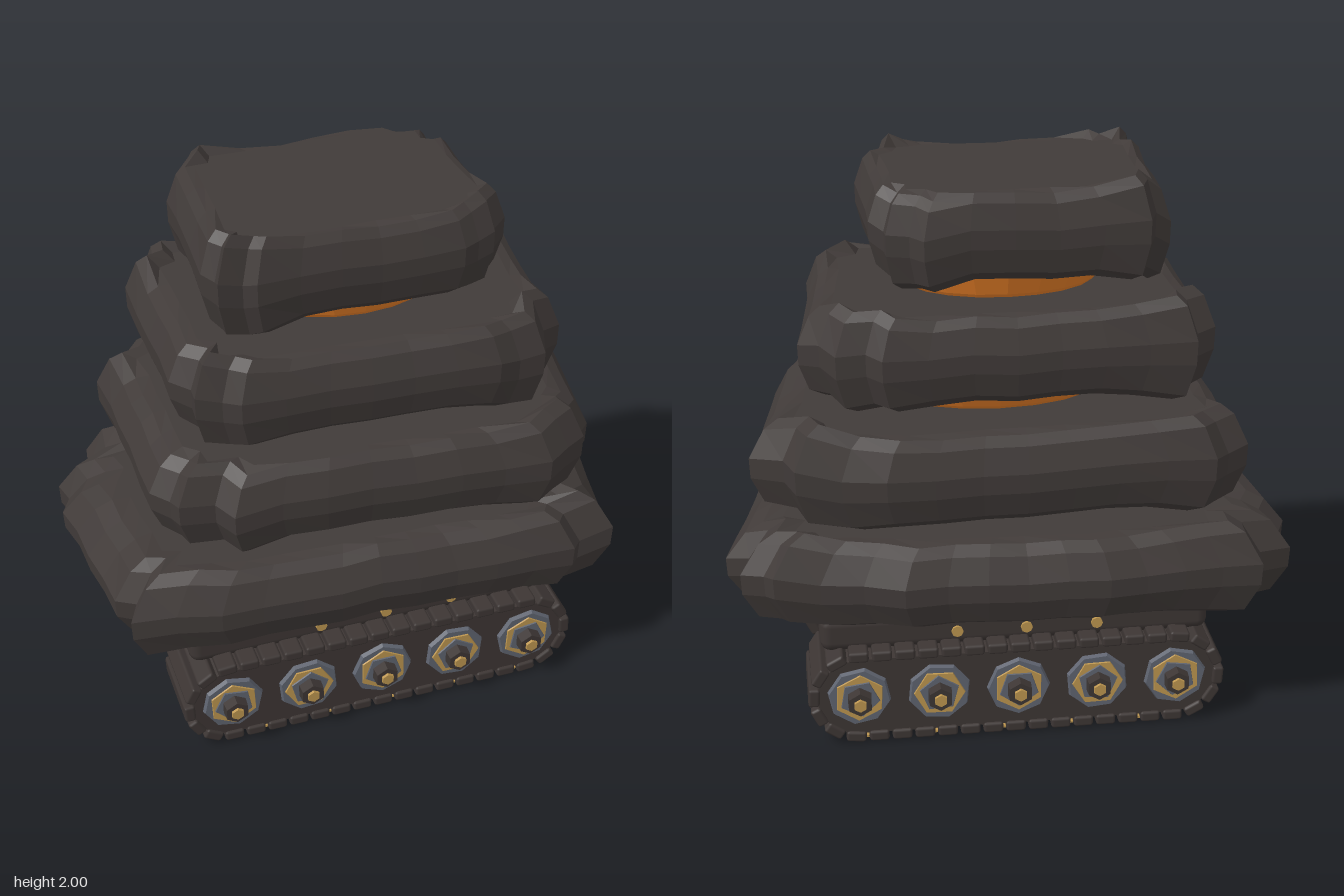
import * as THREE from 'three';
import { RoundedBoxGeometry } from 'three/addons/geometries/RoundedBoxGeometry.js';

const mat = (name, color) => {
  const m = new THREE.MeshStandardMaterial({ color });
  m.name = name;
  return m;
};

export function createModel() {
  const rock = mat('dark stone', 0x413b39);
  const iron = mat('dark iron', 0x3d3634);
  const orange = mat('orange core', 0xfa8a2c);
  const steel = mat('blue grey steel', 0x5f6470);
  const gold = mat('worn gold', 0xbd964f);
  const model = new THREE.Group();
  model.name = 'trackedStoneStack';

  const add = (parent, name, geo, material, x = 0, y = 0, z = 0) => {
    const m = new THREE.Mesh(geo, material);
    m.name = name;
    m.position.set(x, y, z);
    parent.add(m);
    return m;
  };
  const flat = (geo) => {
    const g = geo.index ? geo.toNonIndexed() : geo;
    g.computeVertexNormals();
    return g;
  };
  let seed = 7;
  const rand = () => {
    seed = (seed * 16807) % 2147483647;
    return (seed / 2147483647) * 2 - 1;
  };

  // Stone slab: rings of a rough outline, bulging at mid height, flared at the corners
  // profile rows: inset share, height share, corner flare
  const profile = [
    [1.2, 1, 0], [0.8, 0.98, 0.9], [0.42, 0.88, 0.9], [0, 0.6, 0.2],
    [0.02, 0.38, -0.2], [0.35, 0.1, -0.9], [0.85, 0, -0.7], [1.4, 0.03, 0],
  ];
  function slabGeometry(outline, y0, y1, inX, inZ, flare) {
    const cols = [];
    outline.forEach(([x, z], i) => {
      const [nx, nz] = outline[(i + 1) % outline.length];
      const len = Math.hypot(nx - x, nz - z);
      const n = Math.max(2, Math.round(len / 0.15));
      for (let k = 0; k < n; k++) {
        const rough = len < 0.3 ? 0.026 : 0.008;
        cols.push({
          x: x + ((nx - x) * k) / n, z: z + ((nz - z) * k) / n,
          pinch: k ? Math.abs(rand()) * rough * 1.6 : 0, lift: rand() * rough,
        });
      }
    });
    const hx = Math.max(...cols.map((c) => Math.abs(c.x)));
    const hz = Math.max(...cols.map((c) => Math.abs(c.z)));
    const pos = [], idx = [], n = cols.length;
    for (const [inset, h, f] of profile) {
      for (const c of cols) {
        const corner = THREE.MathUtils.smoothstep(Math.abs(c.x * c.z) / (hx * hz), 0.4, 0.85);
        const shrink = inset + c.pinch / 0.1;
        pos.push(c.x * (1 - (inX * shrink) / hx),
          y0 + (y1 - y0) * h + f * flare * corner + (f ? c.lift : 0),
          c.z * (1 - (inZ * shrink) / hz));
      }
    }
    for (let r = 0; r < profile.length - 1; r++) {
      for (let i = 0; i < n; i++) {
        const j = (i + 1) % n, a = r * n + i, b = r * n + j;
        idx.push(a, b, a + n, b, b + n, a + n);
      }
    }
    const top = pos.length / 3, last = (profile.length - 1) * n;
    pos.push(0, y1, 0, 0, y0, 0);
    for (let i = 0; i < n; i++) {
      const j = (i + 1) % n;
      idx.push(top, j, i, top + 1, last + i, last + j);
    }
    const g = new THREE.BufferGeometry();
    g.setAttribute('position', new THREE.Float32BufferAttribute(pos, 3));
    g.setIndex(idx);
    return flat(g);
  }

  const slabs = [
    { name: 'bottomSlab', y: [0.465, 0.775], inset: [0.17, 0.1], flare: 0.035, outline: [
      [-0.98, -0.38], [-0.84, -0.54], [-0.3, -0.59], [0.4, -0.57], [0.84, -0.48], [0.95, -0.4], [1, -0.25],
      [0.87, 0.37], [0.85, 0.53], [0.68, 0.58], [-0.6, 0.53], [-0.9, 0.46], [-0.93, 0.35], [-1, -0.2]] },
    { name: 'lowerSlab', y: [0.85, 1.165], inset: [0.13, 0.08], flare: 0.045, outline: [
      [-0.8, -0.4], [-0.67, -0.5], [0.45, -0.54], [0.75, -0.48], [0.9, -0.3],
      [0.8, 0.35], [0.73, 0.47], [0.58, 0.55], [-0.53, 0.49], [-0.7, 0.41], [-0.77, 0.28]] },
    { name: 'upperSlab', y: [1.25, 1.555], inset: [0.1, 0.07], flare: 0.05, outline: [
      [-0.68, -0.34], [-0.6, -0.44], [0.45, -0.45], [0.6, -0.39], [0.72, -0.26],
      [0.67, 0.33], [0.57, 0.45], [0.4, 0.48], [-0.48, 0.44], [-0.62, 0.38], [-0.67, 0.23]] },
    { name: 'topSlab', y: [1.65, 1.95], inset: [0.08, 0.06], flare: 0.045, outline: [
      [-0.53, -0.27], [-0.45, -0.35], [0.3, -0.37], [0.42, -0.3], [0.47, -0.2],
      [0.49, 0.23], [0.41, 0.34], [0.3, 0.37], [-0.4, 0.38], [-0.52, 0.35], [-0.55, 0.25]] },
  ];
  for (const s of slabs) {
    add(model, s.name, slabGeometry(s.outline, ...s.y, ...s.inset, s.flare), rock);
  }

  // Orange bowls between the slabs
  const bowls = [[0.74, 0.9, -0.025, 0.565, 0.35], [1.12, 1.28, 0.04, 0.47, 0.3], [1.5, 1.69, 0.01, 0.39, 0.26]];
  for (const [y0, y1, x, rx, rz] of bowls) {
    const g = new THREE.LatheGeometry([[0, 0], [0.72, 0], [0.87, 0.35], [0.96, 0.7], [1, 0.85], [0.95, 1], [0, 1]]
      .map(([r, h]) => new THREE.Vector2(r, h)), 20);
    g.scale(rx, y1 - y0, rz);
    add(model, 'orangeCore', flat(g), orange, x, y0, 0);
  }

  // Chassis with rivets on both long sides
  add(model, 'chassis', new RoundedBoxGeometry(1.38, 0.14, 0.81, 2, 0.04), iron, 0, 0.4, 0);
  for (const side of [1, -1]) {
    for (const x of [-0.21, 0.035, 0.285]) {
      const rivet = add(model, 'rivet', new THREE.CylinderGeometry(0.021, 0.021, 0.02, 8), gold, x * side, 0.393, side * 0.405);
      rivet.rotation.x = Math.PI / 2;
    }
  }

  // Tracks: stadium body, links around the rim, five wheels showing on each side
  const R = 0.16, L = 0.56, W = 0.29;
  const stadium = new THREE.Shape();
  stadium.absarc(L, 0, R - 0.012, -Math.PI / 2, Math.PI / 2, false);
  stadium.absarc(-L, 0, R - 0.012, Math.PI / 2, Math.PI * 1.5, false);
  const bodyGeo = new THREE.ExtrudeGeometry(stadium, { depth: W - 0.02, bevelEnabled: false, curveSegments: 10 });
  bodyGeo.translate(0, 0, -(W - 0.02) / 2);
  const linkGeo = new RoundedBoxGeometry(0.07, 0.04, W, 1, 0.01);
  const gapGeo = new THREE.BoxGeometry(0.01, 0.008, W * 0.6);
  const disc = (r, h, n) => new THREE.CylinderGeometry(r * 0.93, r, h, n).rotateX(Math.PI / 2);
  const wheelGeo = flat(disc(0.115, 0.02, 8));
  const ringGeo = flat(disc(0.096, 0.016, 6));
  const faceGeo = flat(disc(0.076, 0.012, 5));
  const hubGeo = flat(disc(0.048, 0.052, 6));
  const tipGeo = flat(disc(0.025, 0.014, 6));

  // Position and heading at a distance along the rim
  const rim = (d) => {
    const arc = Math.PI * R;
    if (d < 2 * L) return [L - d, R, 0];
    d -= 2 * L;
    if (d < arc) { const a = d / R; return [-L - R * Math.sin(a), R * Math.cos(a), a]; }
    d -= arc;
    if (d < 2 * L) return [-L + d, -R, Math.PI];
    const a = (d - 2 * L) / R;
    return [L + R * Math.sin(a), -R * Math.cos(a), Math.PI + a];
  };
  const around = 4 * L + 2 * Math.PI * R, count = 40;

  for (const z of [0.333, -0.32]) {
    const track = new THREE.Group();
    track.name = z > 0 ? 'frontTrack' : 'backTrack';
    track.position.set(0, 0.18, z);
    model.add(track);
    add(track, 'trackBody', bodyGeo, iron);
    for (let i = 0; i < count; i++) {
      const [x, y, a] = rim((i * around) / count);
      add(track, 'trackLink', linkGeo, iron, x, y, 0).rotation.z = a;
      // Gold slivers only between links on the ground run
      const [gx, gy, ga] = rim(((i + 0.5) * around) / count);
      if (i % 3 === 0 && ga === Math.PI) {
        add(track, 'goldGap', gapGeo, gold, gx, gy - 0.008, z > 0 ? 0.04 : -0.04).rotation.z = ga;
      }
    }
    for (const side of [1, -1]) {
      for (let i = -2; i <= 2; i++) {
        const wheel = new THREE.Group();
        wheel.name = 'wheel';
        wheel.position.set(i * 0.281, 0.006, side * 0.14);
        if (side < 0) wheel.rotation.y = Math.PI;
        track.add(wheel);
        add(wheel, 'wheelDisc', wheelGeo, steel).rotation.z = i * 0.3;
        add(wheel, 'goldRing', ringGeo, gold, 0, 0, 0.007).rotation.z = i * 0.5;
        add(wheel, 'wheelFace', faceGeo, steel, 0, 0, 0.014).rotation.z = i * 0.7;
        add(wheel, 'hub', hubGeo, iron, 0, 0, 0.034);
        add(wheel, 'axleTip', tipGeo, gold, 0, 0, 0.063);
      }
    }
  }
  return model;
}
